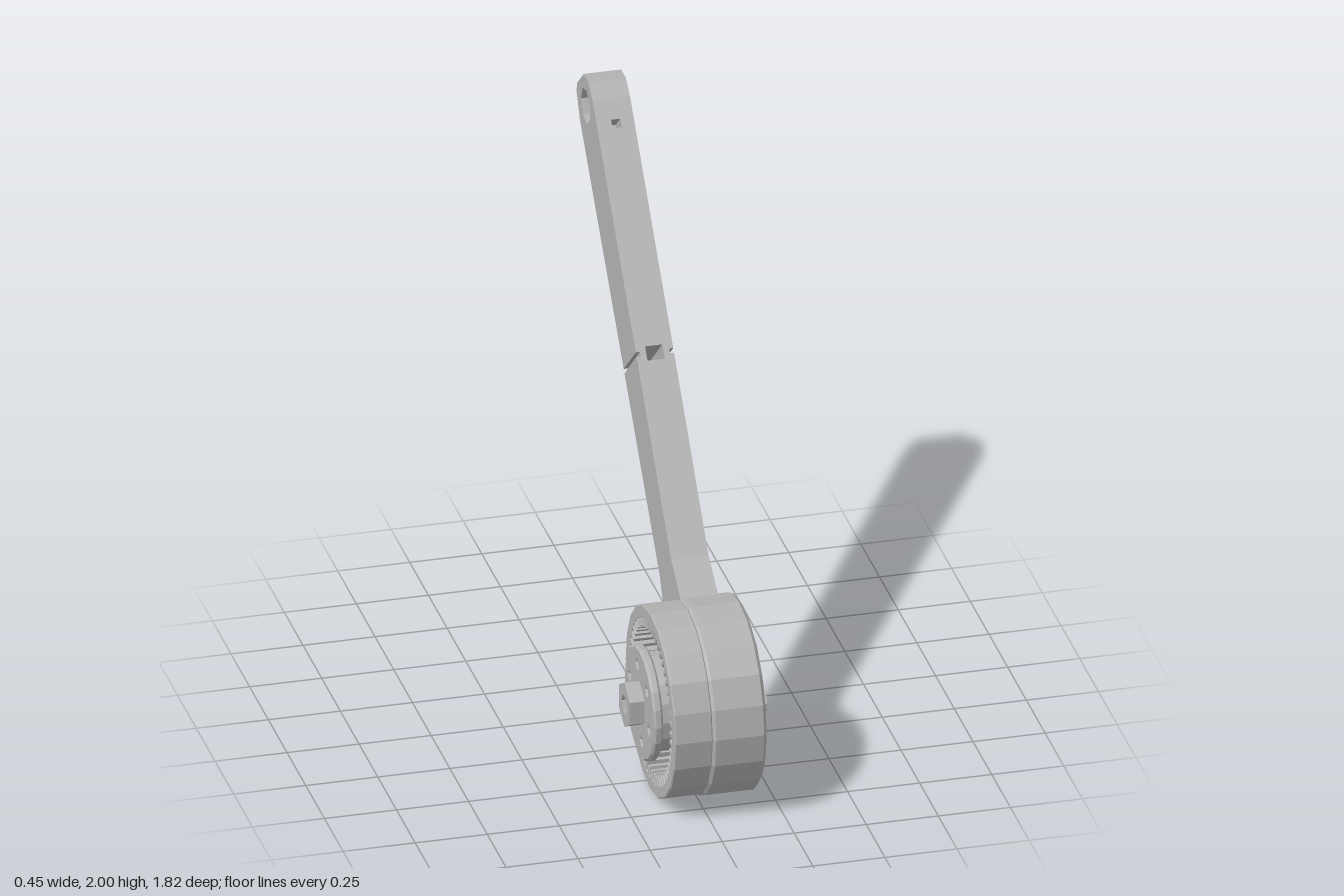
import * as THREE from 'three';

const metal = new THREE.MeshStandardMaterial({ color: 0xb2b2b2, flatShading: true });
metal.name = 'light grey metal';

const V = (x, y) => new THREE.Vector2(x, y);

// Regular polygon as a list of points
function ngon(radius, sides, cx = 0, cy = 0, turn = 0) {
  return Array.from({ length: sides }, (_, i) => {
    const a = turn + (i / sides) * Math.PI * 2;
    return V(cx + radius * Math.cos(a), cy + radius * Math.sin(a));
  });
}

// Inner gear outline: alternating root and tip points
function gearOutline(root, tip, teeth) {
  const points = [];
  for (let i = 0; i < teeth; i++) {
    [[0, root], [0.4, root], [0.5, tip], [0.9, tip]].forEach(([f, r]) => {
      const a = ((i + f) / teeth) * Math.PI * 2;
      points.push(V(r * Math.cos(a), r * Math.sin(a)));
    });
  }
  return points;
}

// Side-on slab between x0 and x1; outline is drawn in (-z, y) and turned by angle
function slab(name, outline, holes, x0, x1, { bevel = 0, angle = 0 } = {}) {
  const shape = new THREE.Shape(outline);
  shape.holes = holes.map((h) => new THREE.Path(h));
  const geometry = new THREE.ExtrudeGeometry(shape, {
    depth: x1 - x0 - 2 * bevel,
    bevelEnabled: bevel > 0,
    bevelThickness: bevel,
    bevelSize: bevel,
    bevelOffset: -bevel,
    bevelSegments: 1,
  });
  geometry.translate(0, 0, x0 + bevel);
  geometry.rotateZ(angle);
  geometry.rotateY(Math.PI / 2);
  const mesh = new THREE.Mesh(geometry, metal);
  mesh.name = name;
  return mesh;
}

function createHead() {
  const head = new THREE.Group();
  head.name = 'head';
  head.position.set(0, 0.337, 0.578);
  const rim = ngon(0.337, 20);

  // Closed half with a through hole, and the open half with inner teeth
  const bolt = ngon(0.043, 7, -0.152, -0.162);
  head.add(slab('housing', rim, [bolt], -0.01, 0.18, { bevel: 0.012 }));
  head.add(slab('toothedRing', ngon(0.332, 20), [gearOutline(0.285, 0.255, 48)], -0.14, -0.008, { bevel: 0.004 }));

  // Rotor with a circle of small holes, its core and the shaft nut
  const rotorHoles = [];
  for (let i = 0; i < 6; i++) {
    const a = (i / 6) * Math.PI * 2 + 0.3;
    rotorHoles.push(ngon(0.013, 6, 0.135 * Math.cos(a), 0.135 * Math.sin(a)));
  }
  head.add(slab('rotorFlange', ngon(0.2, 20), rotorHoles, -0.178, -0.145, { bevel: 0.008 }));
  head.add(slab('rotorCore', ngon(0.17, 16), [], -0.15, -0.005));
  head.add(slab('shaftNut', ngon(0.083, 6, 0, 0, Math.PI / 6), [ngon(0.035, 6)], -0.23, -0.175));

  // Thin square board standing off the closed side, with corner holes
  const corners = [V(-0.007, 0.195), V(-0.172, 0.013), V(0.018, -0.165), V(0.182, 0.02)];
  const outline = [];
  corners.forEach((c, i) => {
    const before = corners[(i + 3) % 4];
    const after = corners[(i + 1) % 4];
    outline.push(c.clone().lerp(before, 0.06), c.clone().lerp(after, 0.06));
  });
  const pinHoles = corners.map((c) => ngon(0.012, 6, c.x * 0.89, c.y * 0.89));
  head.add(slab('sensorBoard', outline, pinHoles, 0.217, 0.224));
  return head;
}

function createArm() {
  const arm = new THREE.Group();
  arm.name = 'arm';
  arm.position.set(0, 0.345, 0.575);
  const angle = Math.atan2(0.75, 0.66);
  const joint = 1.16;
  const half = 0.104;

  // Layers across the arm: x range, gap at the joint, small bore near the tip
  const layers = [
    [-0.01, 0.004, 0.016, false],
    [0.004, 0.025, 0, false],
    [0.025, 0.042, 0.05, false],
    [0.042, 0.074, 0.05, true],
    [0.074, 0.085, 0.05, false],
    [0.085, 0.106, 0, false],
    [0.106, 0.12, 0.016, false],
  ];
  layers.forEach(([x0, x1, gap, bored], i) => {
    const a = joint - gap / 2;
    const b = joint + gap / 2;
    const lower = [
      V(0.24, -0.145), V(0.31, -0.136), V(0.44, -half), V(a, -half - 0.004),
      V(a, half + 0.004), V(0.445, half - 0.004), V(0.31, 0.136), V(0.24, 0.145),
    ];
    const boltHole = i > 4 ? [ngon(0.02, 3, 0.355, 0.005)] : [];
    arm.add(slab('lowerArm', lower, boltHole, x0, x1, { angle }));

    const bore = bored ? [V(1.975, 0.111), V(1.975, 0.03), V(1.945, 0.03), V(1.945, 0.111)] : [];
    const upper = [
      V(b, -half - 0.004), V(2.045, -0.118), V(2.139, -0.094), V(2.158, -0.066),
      V(2.158, 0.05), V(2.116, 0.098), V(2.05, 0.112), ...bore, V(b, half + 0.004),
    ];
    arm.add(slab('upperArm', upper, [ngon(0.063, 7, 2.06, 0)], x0, x1, { angle }));
  });
  return arm;
}

export function createModel() {
  const model = new THREE.Group();
  model.name = 'armWithRoundHead';
  model.add(createHead(), createArm());
  return model;
}
